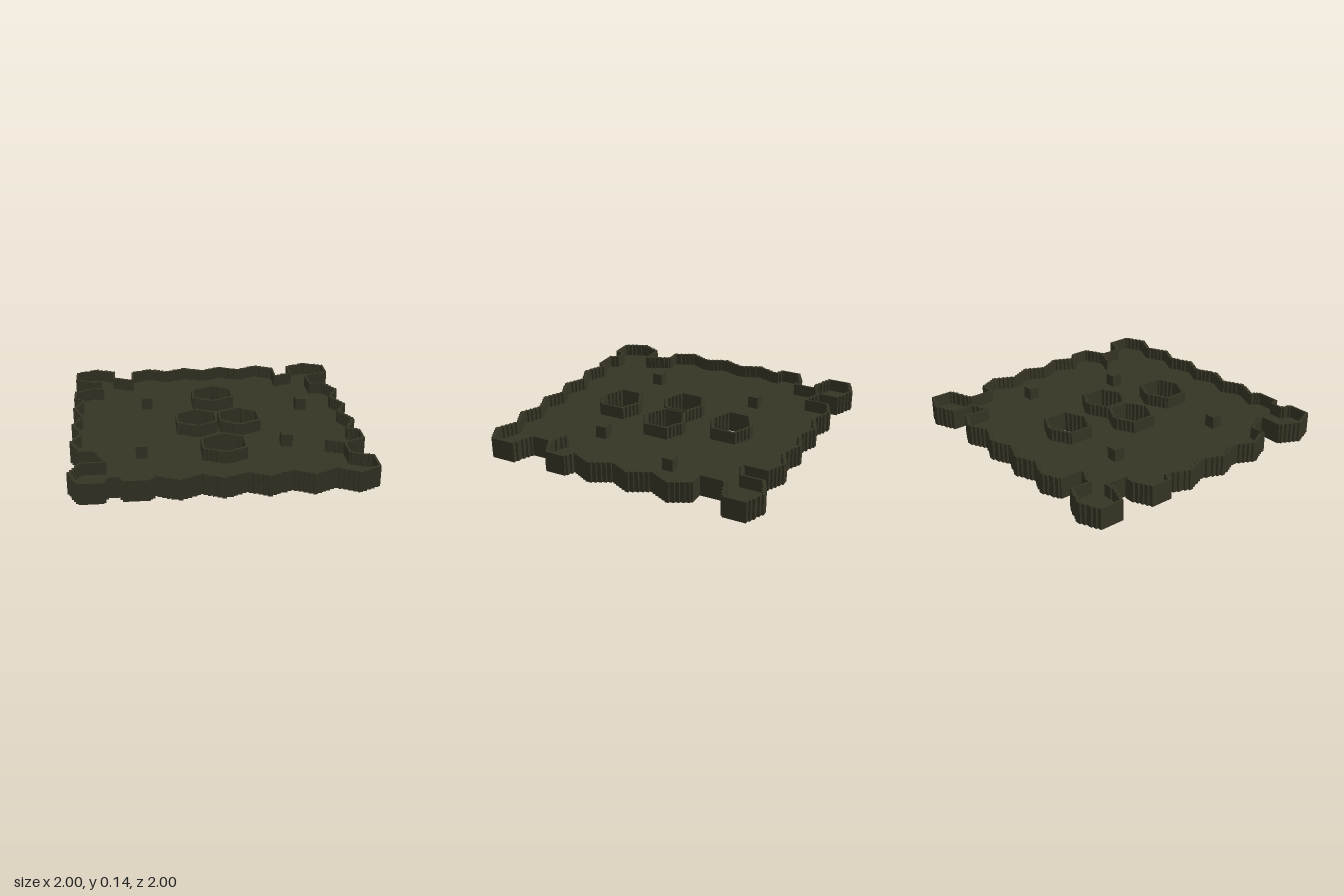
import * as THREE from 'three';

const N = 138, V = 2 / N;              // grid cells per side and cell size
const FLOOR = V * 4, TOP = V * 10;     // slab top and rim top

// A row of pointed scallops along one edge, from a to b
function scallops(n, a, b, valley, peak, alongZ) {
  const pts = [];
  for (let k = 0; k <= 2 * n; k++) {
    const t = a + (b - a) * k / (2 * n), d = k % 2 ? peak : valley;
    pts.push(alongZ ? [d, t] : [t, d]);
  }
  return pts;
}

// Plan outline (x, z) in hundredths
const outline = [
  [-100, -94], [-85, -100], [-70, -94], [-70, -79], [-65, -79], [-57, -75],
  ...scallops(4, -57, 58, -91, -97.5, false),
  [58, -74], [70, -79], [70, -94], [85, -100], [100, -94], [100, -78], [82, -71], [82, -55],
  ...scallops(3, -55, 31, 93, 100, true),
  [100, 35], [100, 49], [86, 56], [86, 70], [100, 76],
  ...scallops(5, 100, -44, 93, 100, false),
  [-48, 98], [-65, 98], [-67, 93], [-74, 93], [-77, 100], [-93, 100], [-100, 84], [-93, 70], [-77, 70], [-84, 53],
  ...scallops(3, 53, -35, -93.5, -100, true),
  [-100, -38], [-100, -53], [-85, -60], [-80, -58], [-80, -73], [-85, -71], [-100, -77],
];

// Hexagonal openings
const hexHole = (cx, cz, w) =>
  [[0, -14], [w, -7], [w, 7], [0, 14], [-w, 7], [-w, -7]].map(([x, z]) => [cx + x, cz + z]);
const holes = [hexHole(4, -41, 14), hexHole(-11.6, 3.5, 13), hexHole(19.2, 3.5, 13), hexHole(4, 47.5, 14)];

function contains(poly, x, z) {
  let inside = false;
  for (let i = 0, j = poly.length - 1; i < poly.length; j = i++) {
    const [xi, zi] = poly[i], [xj, zj] = poly[j];
    if ((zi > z) !== (zj > z) && x < (xj - xi) * (z - zi) / (zj - zi) + xi) inside = !inside;
  }
  return inside;
}

const makeMask = (test) => {
  const mask = [];
  for (let j = 0; j < N; j++) for (let i = 0; i < N; i++) mask.push(test(i, j));
  return (i, j) => i >= 0 && j >= 0 && i < N && j < N && mask[j * N + i];
};

// Stepped solid over the cells of a mask; top and bottom may use a different mask
function steppedGeometry(mask, topMask, bottomMask, y0, y1) {
  const pos = [];
  const quad = (a, b, c, d) => pos.push(...a, ...b, ...c, ...a, ...c, ...d);
  const caps = (m, y, up) => {
    for (let j = 0; j < N; j++) {
      for (let i = 0; i < N; i++) {
        if (!m(i, j)) continue;
        const start = i;
        while (m(i + 1, j)) i++;
        const xa = start * V - 1, xb = (i + 1) * V - 1, za = j * V - 1, zb = za + V;
        const c = [[xa, y, zb], [xb, y, zb], [xb, y, za], [xa, y, za]];
        quad(...(up ? c : c.reverse()));
      }
    }
  };
  caps(topMask, y1, true);
  if (bottomMask) caps(bottomMask, y0, false);
  for (let j = 0; j < N; j++) {
    for (let i = 0; i < N; i++) {
      if (!mask(i, j)) continue;
      for (const [nx, nz] of [[1, 0], [-1, 0], [0, 1], [0, -1]]) {
        if (mask(i + nx, j + nz)) continue;
        const h = V / 2, x = (i + 0.5) * V - 1 + nx * h, z = (j + 0.5) * V - 1 + nz * h;
        const rx = nz * h, rz = -nx * h;
        quad([x - rx, y0, z - rz], [x + rx, y0, z + rz], [x + rx, y1, z + rz], [x - rx, y1, z - rz]);
      }
    }
  }
  const geo = new THREE.BufferGeometry();
  geo.setAttribute('position', new THREE.Float32BufferAttribute(pos, 3));
  geo.computeVertexNormals();
  return geo;
}

export function createModel() {
  const group = new THREE.Group();
  group.name = 'hexTray';
  const olive = new THREE.MeshStandardMaterial({ color: 0x363424 });
  olive.name = 'darkOlive';
  const add = (name, geo, x = 0, y = 0, z = 0) => {
    const mesh = new THREE.Mesh(geo, olive);
    mesh.name = name;
    mesh.position.set(x, y, z);
    group.add(mesh);
  };

  const solid = makeMask((i, j) => {
    const x = ((i + 0.5) * V - 1) * 100, z = ((j + 0.5) * V - 1) * 100;
    return contains(outline, x, z) && !holes.some((h) => contains(h, x, z));
  });
  // Rim: every cell touching the outside, plus a short stub wall at the right-hand notch
  const rim = makeMask((i, j) => {
    if (!solid(i, j)) return false;
    const x = (i + 0.5) * V - 1, z = (j + 0.5) * V - 1;
    if (x > 0.72 && x < 0.86 && Math.abs(z - 0.5 - (x - 0.73) * 0.4) < V * 0.6) return true;
    for (let a = -1; a <= 1; a++) for (let b = -1; b <= 1; b++) if (!solid(i + a, j + b)) return true;
    return false;
  });
  const floor = makeMask((i, j) => solid(i, j) && !rim(i, j));

  add('baseSlab', steppedGeometry(solid, floor, solid, 0, FLOOR));
  add('rimWalls', steppedGeometry(rim, rim, null, FLOOR, TOP));

  // Square posts on the floor
  const post = new THREE.BoxGeometry(0.078, TOP - FLOOR, 0.078);
  for (const [x, z] of [[-0.455, -0.38], [0.69, -0.267], [0.48, 0.364], [-0.52, 0.46]]) {
    add('post', post, x, (FLOOR + TOP) / 2, z);
  }
  return group;
}
